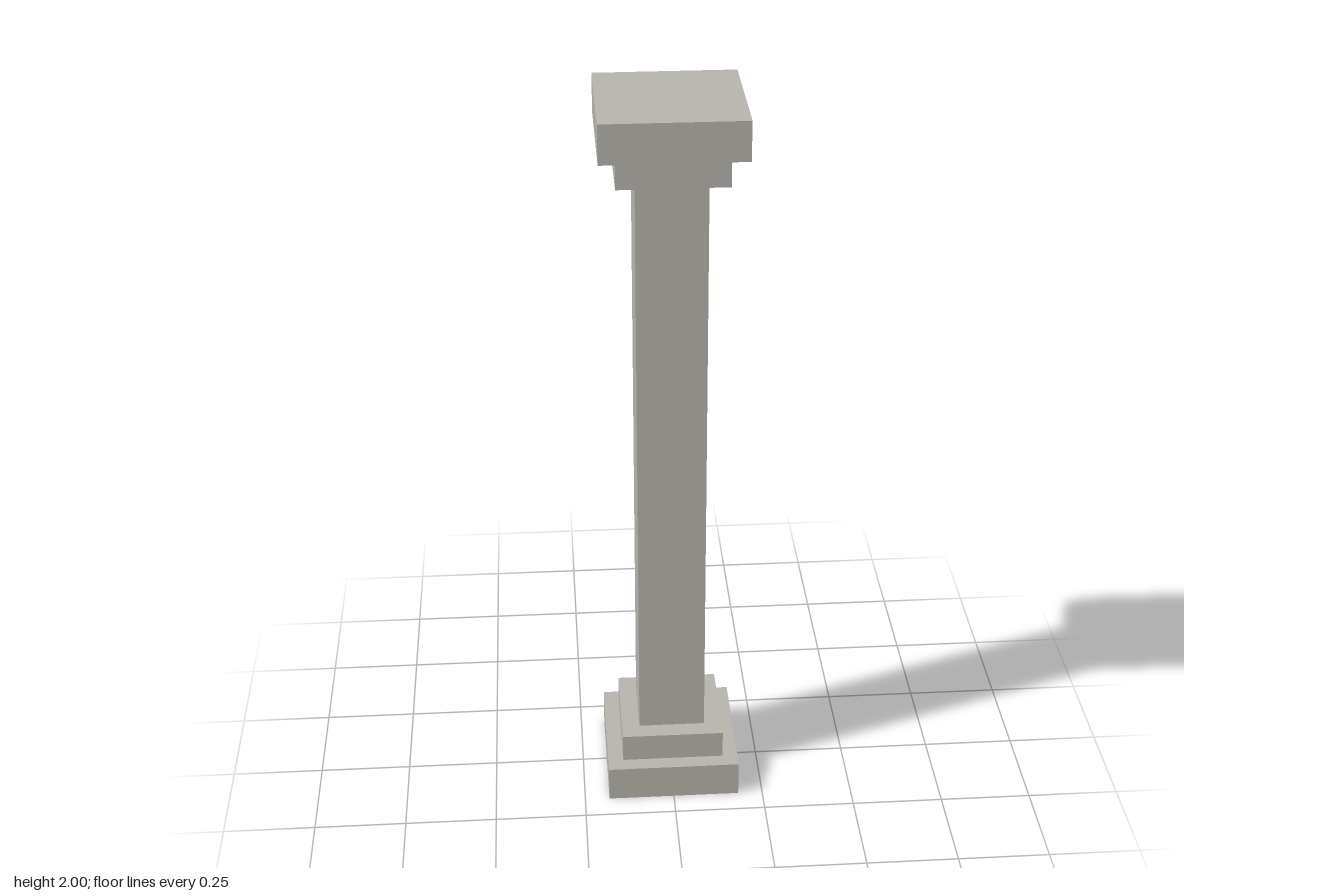
import * as THREE from 'three';

const HEIGHT = 2;
const SLAB = { width: 0.364, height: 0.102 };
const STEP = { width: 0.28, height: 0.08 };
const SHAFT_WIDTH = 0.182;

export function createModel() {
  const column = new THREE.Group();
  column.name = 'column';

  const stone = new THREE.MeshStandardMaterial({ color: 0xb5b3ac });
  stone.name = 'stone';

  // Square block centred on the column axis, between two heights
  function addBlock(name, width, bottom, top) {
    const block = new THREE.Mesh(new THREE.BoxGeometry(width, top - bottom, width), stone);
    block.name = name;
    block.position.y = (bottom + top) / 2;
    column.add(block);
  }

  const shaftStart = SLAB.height + STEP.height;

  // Stepped base
  addBlock('baseSlab', SLAB.width, 0, SLAB.height);
  addBlock('baseStep', STEP.width, SLAB.height, shaftStart);

  // Square shaft
  addBlock('shaft', SHAFT_WIDTH, shaftStart, HEIGHT - shaftStart);

  // Stepped capital, mirroring the base
  addBlock('capitalStep', STEP.width, HEIGHT - shaftStart, HEIGHT - SLAB.height);
  addBlock('capitalSlab', SLAB.width, HEIGHT - SLAB.height, HEIGHT);

  return column;
}
